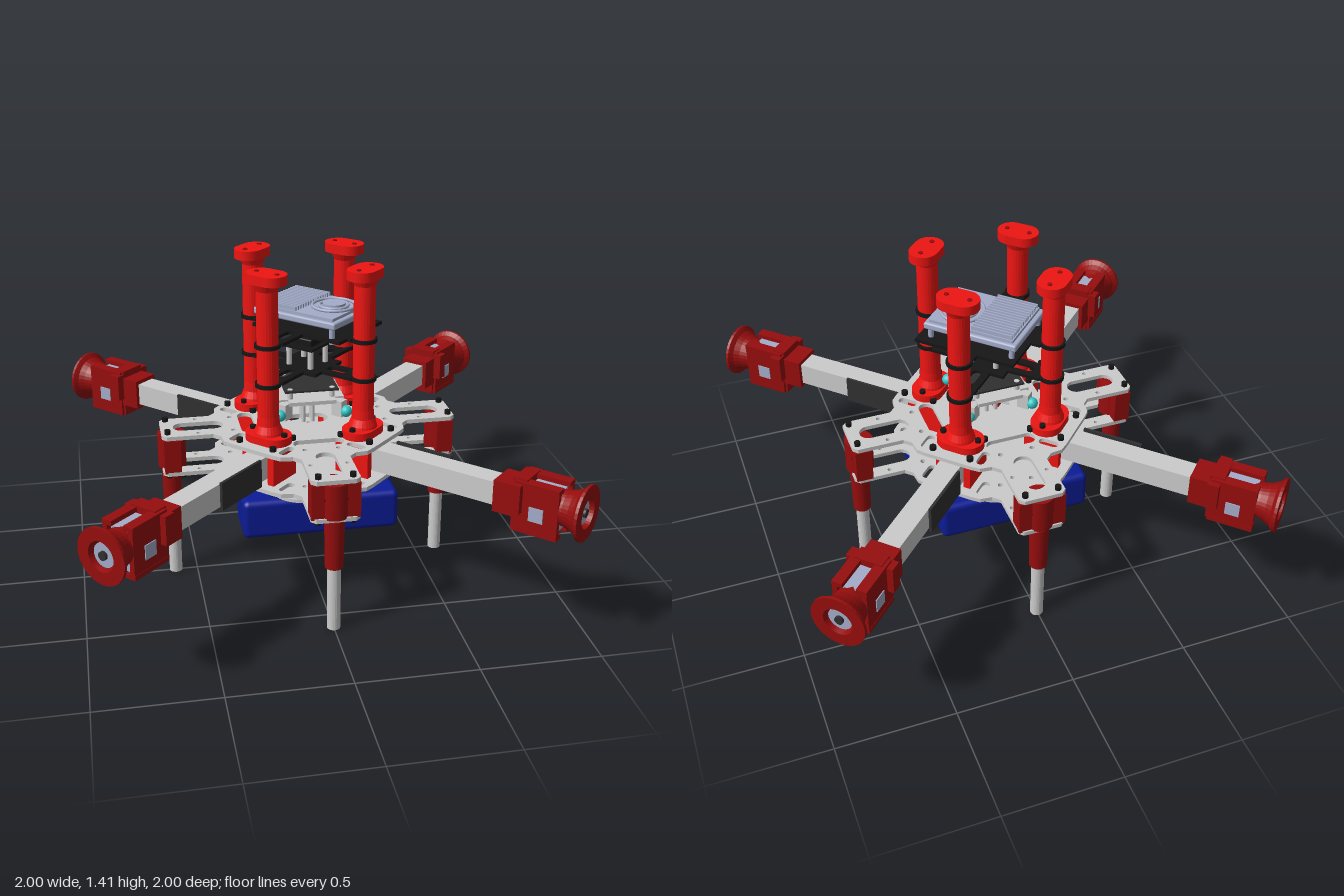
import * as THREE from 'three';
import { RoundedBoxGeometry } from 'three/addons/geometries/RoundedBoxGeometry.js';

const mat = (color, side = THREE.FrontSide) => new THREE.MeshStandardMaterial({ color, side });
const GREY = mat(0xcccccc), RED = mat(0xee1512), DARK_RED = mat(0x960d0d), BLACK = mat(0x161616),
  BLUE = mat(0x0b1c96), STEEL = mat(0xa3acc9), CHARCOAL = mat(0x303030), CYAN = mat(0x30c8c8);

function add(parent, name, geometry, material, x = 0, y = 0, z = 0) {
  const mesh = new THREE.Mesh(geometry, material);
  mesh.name = name;
  mesh.position.set(x, y, z);
  parent.add(mesh);
  return mesh;
}
const box = (x, y, z) => new THREE.BoxGeometry(x, y, z);
const cyl = (r, h, n = 24) => new THREE.CylinderGeometry(r, r, h, n);
// Lathe from [radius, y] pairs; each band keeps crisp edges because its points are split
function lathe(pairs, n = 32) {
  const g = new THREE.LatheGeometry(pairs.map(p => new THREE.Vector2(...p)), n).toNonIndexed();
  g.computeVertexNormals();
  return g;
}
// Stadium outline centred on (cx, cy), rotated by a
function stadium(P, cx, cy, half, r, a = 0) {
  const p = new P(), dx = Math.cos(a) * half, dy = Math.sin(a) * half;
  p.absarc(cx + dx, cy + dy, r, a - Math.PI / 2, a + Math.PI / 2, false);
  p.absarc(cx - dx, cy - dy, r, a + Math.PI / 2, a + Math.PI * 1.5, false);
  p.closePath();
  return p;
}
const circle = (x, y, r) => stadium(THREE.Path, x, y, 0, r);
// Flat shape extruded upward from y = 0
function slab(shape, h) {
  return new THREE.ExtrudeGeometry(shape, { depth: h, bevelEnabled: false, curveSegments: 10 }).rotateX(-Math.PI / 2);
}
function turned(parent, name, a, x = 0, y = 0, z = 0) {
  const g = new THREE.Group();
  g.name = name;
  g.rotation.y = a;
  g.position.set(x, y, z);
  parent.add(g);
  return g;
}

// Cross-shaped frame plate with four slotted prongs
function framePlate(upper) {
  const side = [[0.36, -0.21], [0.385, -0.18], [0.39, -0.13], [0.42, -0.1], [0.615, -0.1], [0.635, -0.08]];
  const quarter = [...side, ...side.map(([x, y]) => [x, -y]).reverse()];
  const pts = [], holes = [];
  for (let k = 0; k < 4; k++) {
    const a = k * Math.PI / 2, c = Math.cos(a), s = Math.sin(a);
    const at = (x, y) => [c * x - s * y, s * x + c * y];
    quarter.forEach(([x, y]) => pts.push(new THREE.Vector2(...at(x, y))));
    holes.push(stadium(THREE.Path, ...at(0.475, 0), 0.067, 0.04, a));
    if (upper) holes.push(stadium(THREE.Path, ...at(0.265, 0), 0.075, 0.032, a + Math.PI / 2));
    for (const m of [-1, 1]) {
      holes.push(circle(...at(0.48, m * 0.075), 0.009), circle(...at(0.33, m * 0.07), 0.011));
      holes.push(stadium(THREE.Path, ...at(0.325, m * 0.145), 0.025, 0.018, a + m * Math.PI / 4));
    }
  }
  holes.push(stadium(THREE.Path, 0, 0, 0.04, 0.05));
  const shape = new THREE.Shape(pts);
  shape.holes.push(...holes);
  return slab(shape, 0.018);
}

// Boom with clamp, side panel and flared motor pod (runs along local +x)
function buildArm(root, a) {
  const arm = turned(root, 'arm', a);
  add(arm, 'boom', box(0.82, 0.1, 0.095), GREY, 0.61, 0.6, 0);
  add(arm, 'sidePanel', box(0.26, 0.12, 0.012), CHARCOAL, 0.55, 0.6, -0.058);
  for (const s of [-1, 1]) {
    add(arm, 'armClamp', box(0.16, 0.145, 0.03), RED, 0.28, 0.593, s * 0.064);
    for (const x of [0.23, 0.37]) {
      add(arm, 'clampScrew', cyl(0.014, 0.018, 12), BLACK, x, 0.697, s * 0.085);
      add(arm, 'clampScrew', cyl(0.014, 0.018, 12), BLACK, x, 0.495, s * 0.085);
    }
  }
  const pod = turned(arm, 'motorPod', 0);
  add(pod, 'podSocket', box(0.1, 0.135, 0.13), DARK_RED, 0.98, 0.6, 0);
  for (const s of [-1, 1]) {
    add(pod, 'podLug', box(0.05, 0.12, 0.04), DARK_RED, 1.035, 0.625, s * 0.08);
    add(pod, 'podSideWall', box(0.19, 0.2, 0.022), DARK_RED, 1.115, 0.59, s * 0.062);
    add(pod, 'sideWindow', box(0.06, 0.06, 0.006), STEEL, 1.12, 0.57, s * 0.074);
    add(pod, 'podRoof', box(0.19, 0.02, 0.045), DARK_RED, 1.115, 0.685, s * 0.052);
    add(pod, 'podFloor', box(0.19, 0.02, 0.045), DARK_RED, 1.115, 0.49, s * 0.052);
  }
  add(pod, 'podBackWall', box(0.06, 0.22, 0.12), DARK_RED, 1.04, 0.59, 0);
  add(pod, 'speedController', box(0.13, 0.17, 0.09), STEEL, 1.13, 0.585, 0);
  const flare = [[0.055, 0.07], [0.055, -0.01], [0.07, -0.01], [0.074, 0.03], [0.083, 0.06],
    [0.096, 0.085], [0.115, 0.1], [0.115, 0.112], [0.062, 0.112], [0.055, 0.07]];
  add(pod, 'motorBell', lathe(flare), DARK_RED, 1.19, 0.6, 0).rotation.z = -Math.PI / 2;
  add(pod, 'motor', cyl(0.05, 0.1), STEEL, 1.235, 0.6, 0).rotation.z = Math.PI / 2;
  add(pod, 'motorShaft', cyl(0.018, 0.02, 16), CHARCOAL, 1.287, 0.6, 0).rotation.z = Math.PI / 2;
}

// Red tower standing over the root of each boom
function buildTower(root, a) {
  const tower = turned(root, 'tower', a);
  const foot = stadium(THREE.Shape, 0.283, 0, 0.035, 0.068, Math.PI / 2);
  add(tower, 'towerFoot', slab(foot, 0.035), RED, 0, 0.685, 0);
  add(tower, 'towerColumn', lathe([[0, 0.71], [0.064, 0.71], [0.06, 0.73], [0.048, 0.76], [0.045, 0.8],
    [0.045, 1.335], [0.06, 1.37], [0, 1.37]], 24), RED, 0.283, 0, 0);
  add(tower, 'towerCap', slab(stadium(THREE.Shape, 0.283, 0, 0.028, 0.06, Math.PI / 2), 0.04), RED, 0, 1.365, 0);
  for (const s of [-1, 1]) {
    add(tower, 'footScrew', cyl(0.013, 0.016, 12), BLACK, 0.283, 0.726, s * 0.08);
    add(tower, 'capScrew', cyl(0.01, 0.006, 12), DARK_RED, 0.283, 1.406, s * 0.05);
  }
  // Black shelf straps that grip the column
  for (const y of [0.935, 1.103]) {
    const strap = new THREE.Shape([[0, -0.05], [0.25, -0.05], [0.25, 0.05], [0, 0.05]].map(p => new THREE.Vector2(...p)));
    strap.holes.push(stadium(THREE.Path, 0.155, 0, 0.03, 0.02));
    add(tower, 'shelfStrap', slab(strap, 0.014), BLACK, 0, y - 0.007, 0);
    add(tower, 'shelfRing', cyl(0.054, 0.016), BLACK, 0.283, y, 0);
  }
  add(tower, 'damper', new THREE.SphereGeometry(0.025, 16, 10), CYAN, 0.2, 0.765, 0);
  add(tower, 'damperBracket', box(0.05, 0.07, 0.04), GREY, 0.165, 0.775, 0);
}

// Prong end: red spacer block and landing leg (local +x)
function buildLeg(root, a) {
  const leg = turned(root, 'leg', a);
  add(leg, 'spacerBlock', box(0.07, 0.15, 0.2), DARK_RED, 0.593, 0.59, 0);
  add(leg, 'spacerBoss', cyl(0.06, 0.15), DARK_RED, 0.59, 0.59, 0);
  for (let i = 0; i < 7; i++) {
    const t = i * Math.PI / 3, r = i < 6 ? 0.04 : 0;
    add(leg, 'blockHole', cyl(0.008, 0.003, 10), BLACK, 0.628, 0.6 + r * Math.sin(t), r * Math.cos(t)).rotation.z = Math.PI / 2;
  }
  for (const s of [-1, 1]) for (const x of [0.55, 0.61]) {
    add(leg, 'plateScrew', cyl(0.013, 0.018, 12), BLACK, x, x > 0.6 ? 0.697 : 0.495, s * 0.07);
    add(leg, 'plateScrew', cyl(0.013, 0.016, 12), BLACK, 0.61, 0.496, s * 0.07);
  }
  add(leg, 'legSleeve', lathe([[0.028, 0.285], [0.038, 0.285], [0.042, 0.5], [0.028, 0.5], [0.028, 0.285]], 24), DARK_RED, 0.595, 0, 0);
  add(leg, 'legTube', lathe([[0.021, 0], [0.028, 0], [0.028, 0.45], [0.021, 0.45], [0.021, 0]], 24), GREY, 0.595, 0, 0);
}

// Electronics between the towers
function buildStack(root) {
  const base = turned(root, 'lowerElectronics', 0);
  add(base, 'tray', box(0.28, 0.016, 0.2), GREY, 0, 0.81, 0);
  add(base, 'trayCross', box(0.2, 0.016, 0.28), GREY, 0, 0.81, 0);
  add(base, 'circuitBoard', box(0.23, 0.008, 0.23), CHARCOAL, 0, 0.855, 0);
  const mid = turned(root, 'middleElectronics', -Math.PI / 4);
  add(mid, 'carrier', box(0.15, 0.01, 0.15), BLACK, 0, 1.028, 0);
  add(mid, 'controller', new RoundedBoxGeometry(0.1, 0.035, 0.085, 2, 0.006), BLACK, 0, 1.045, 0);
  add(mid, 'lowerShelf', box(0.22, 0.014, 0.2), BLACK, 0, 0.935, 0);
  const top = turned(root, 'upperElectronics', -Math.PI / 4, 0.033, 0, -0.035);
  add(top, 'upperShelf', box(0.44, 0.014, 0.33), BLACK, 0.012, 1.103, -0.012);
  add(top, 'computerBase', new RoundedBoxGeometry(0.41, 0.03, 0.3, 2, 0.008), STEEL, 0, 1.165, 0);
  add(top, 'computerBody', box(0.37, 0.015, 0.27), STEEL, 0, 1.185, 0);
  for (let i = 0; i < 15; i++) add(top, 'coolingFin', box(0.18, 0.022, 0.007), STEEL, -0.09, 1.199, -0.126 + i * 0.018);
  for (const r of [0.09, 0.06]) add(top, 'fanRing', new THREE.TorusGeometry(r, 0.007, 8, 40).rotateX(Math.PI / 2), STEEL, 0.09, 1.197, -0.02);
  add(top, 'fanHub', cyl(0.048, 0.016, 32), STEEL, 0.09, 1.2, -0.02);
  for (const sx of [-1, 1]) for (const sz of [-1, 1]) {
    add(base, 'trayPost', cyl(0.009, 0.13, 10), GREY, sx * 0.02, 0.745, sz * 0.02);
    add(base, 'boardPost', cyl(0.012, 0.05, 10), GREY, sx * 0.09, 0.835, sz * 0.09);
    add(mid, 'carrierPost', cyl(0.012, 0.11, 12), GREY, sx * 0.055, 0.975, sz * 0.055);
    add(top, 'computerPost', cyl(0.012, 0.08, 12), STEEL, sx * 0.18, 1.125, sz * 0.13);
  }
}

export function createModel() {
  const root = new THREE.Group();
  root.name = 'quadcopterFrame';
  add(root, 'upperPlate', framePlate(true), GREY, 0, 0.668, 0);
  add(root, 'lowerPlate', framePlate(false), GREY, 0, 0.503, 0);
  for (let k = 0; k < 4; k++) {
    buildArm(root, Math.PI / 4 + k * Math.PI / 2);
    buildTower(root, Math.PI / 4 + k * Math.PI / 2);
    buildLeg(root, k * Math.PI / 2);
  }
  buildStack(root);
  // Slung batteries with their mounting plates
  for (const s of [-1, 1]) {
    add(root, 'battery', new RoundedBoxGeometry(0.66, 0.17, 0.22, 3, 0.025), BLUE, 0, 0.383, s * 0.23);
    add(root, 'batteryPlate', slab(stadium(THREE.Shape, 0, 0, 0.06, 0.14), 0.015), GREY, 0, 0.468, s * 0.24);
    for (const x of [-0.14, 0.14]) add(root, 'batteryPost', cyl(0.014, 0.04, 12), BLACK, x, 0.49, s * 0.24);
  }
  return root;
}
